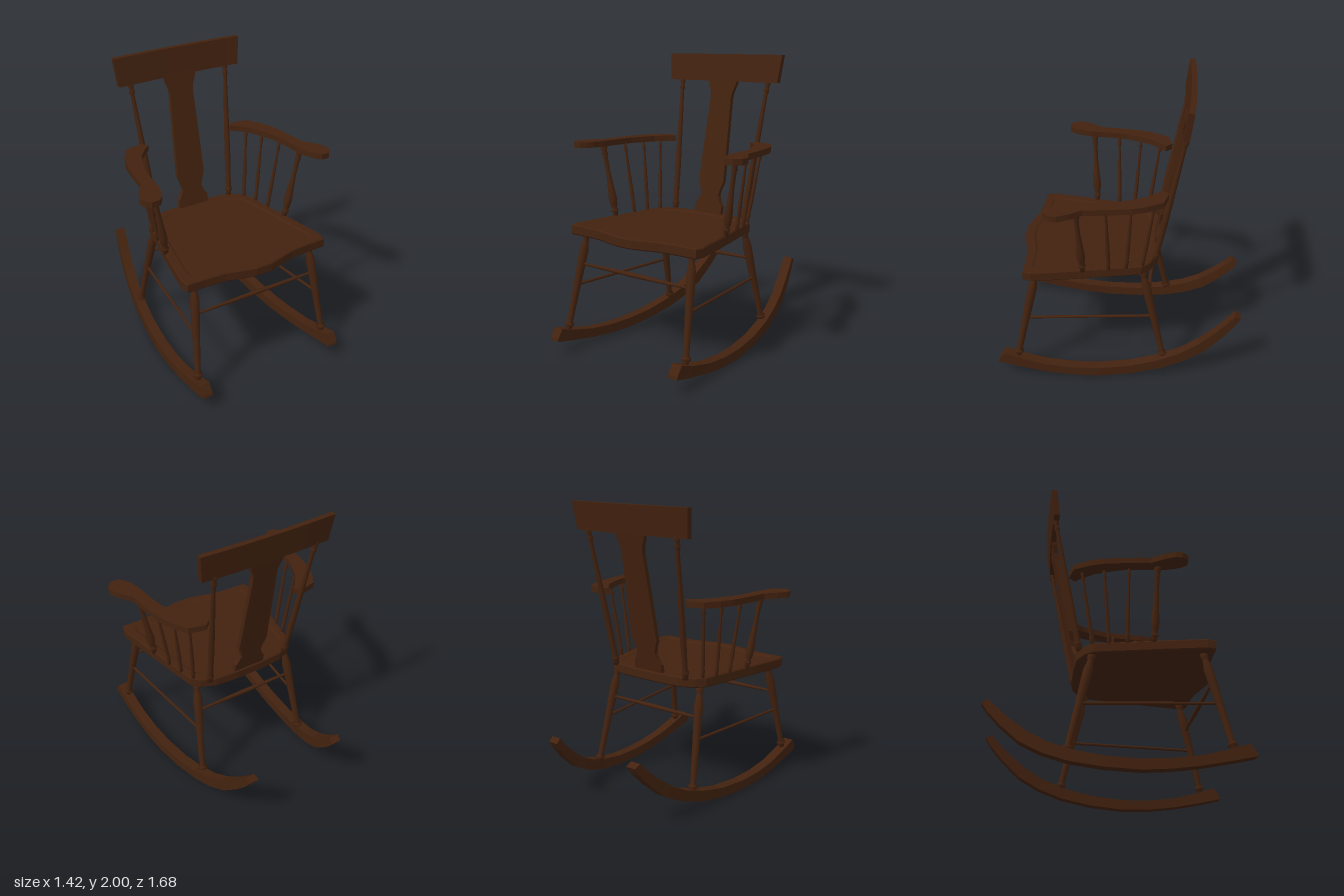
import * as THREE from 'three';

const wood = new THREE.MeshStandardMaterial({ color: 0x43220f });
wood.name = 'dark walnut';

// Solid skinned over a row of equal-length rings, end caps fanned, facing outward
function loft(name, rings) {
  const tris = [];
  const n = rings[0].length;
  for (let i = 0; i < rings.length - 1; i++) {
    for (let j = 0; j < n; j++) {
      const k = (j + 1) % n;
      const a = rings[i][j], b = rings[i][k], c = rings[i + 1][k], d = rings[i + 1][j];
      tris.push([a, b, c], [a, c, d]);
    }
  }
  const middle = (r) => [0, 1, 2].map((axis) => r.reduce((sum, p) => sum + p[axis], 0) / n);
  const first = rings[0], last = rings[rings.length - 1];
  const m0 = middle(first), m1 = middle(last);
  for (let j = 0; j < n; j++) {
    const k = (j + 1) % n;
    tris.push([m0, first[k], first[j]], [m1, last[j], last[k]]);
  }
  // Signed volume tells whether the corners must be reversed
  let volume = 0;
  for (const t of tris) {
    const [a, b, c] = t.map((p) => new THREE.Vector3(...p));
    volume += a.dot(b.cross(c));
  }
  if (volume < 0) tris.forEach((t) => t.reverse());
  const geometry = new THREE.BufferGeometry();
  geometry.setAttribute('position', new THREE.Float32BufferAttribute(tris.flat(2), 3));
  geometry.computeVertexNormals();
  const mesh = new THREE.Mesh(geometry, wood);
  mesh.name = name;
  return mesh;
}

// Turned stick from point a to point b; profile is [fraction of length, radius]
function turned(name, a, b, profile) {
  const from = new THREE.Vector3(...a), dir = new THREE.Vector3(...b).sub(from);
  const length = dir.length();
  const points = [[0, 0], ...profile, [1, 0]].map(([t, r]) => new THREE.Vector2(r, t * length));
  const mesh = new THREE.Mesh(new THREE.LatheGeometry(points, 10), wood);
  mesh.position.copy(from);
  mesh.quaternion.setFromUnitVectors(new THREE.Vector3(0, 1, 0), dir.normalize());
  mesh.name = name;
  return mesh;
}

const LEG = [[0, 0.018], [0.06, 0.02], [0.075, 0.032], [0.095, 0.032], [0.11, 0.02],
  [0.45, 0.025], [0.7, 0.03], [0.82, 0.032], [0.9, 0.021], [0.93, 0.021], [0.945, 0.027], [1, 0.024]];
const POST = [[0, 0.02], [0.03, 0.02], [0.04, 0.026], [0.055, 0.026], [0.065, 0.019], [0.3, 0.022],
  [0.6, 0.018], [0.9, 0.013], [0.915, 0.019], [0.935, 0.019], [0.945, 0.013], [0.965, 0.02], [1, 0.018]];
const ARM_POST = [[0, 0.017], [0.06, 0.017], [0.075, 0.025], [0.1, 0.025], [0.115, 0.016], [0.17, 0.025],
  [0.27, 0.029], [0.4, 0.023], [0.65, 0.015], [0.84, 0.016], [0.87, 0.022], [0.9, 0.016], [0.96, 0.025], [1, 0.02]];
const SPINDLE = [[0, 0.012], [0.08, 0.012], [0.1, 0.016], [0.13, 0.011], [0.25, 0.014],
  [0.5, 0.012], [0.85, 0.008], [0.9, 0.014], [0.93, 0.009], [1, 0.012]];
const ROD = [[0, 0.009], [0.04, 0.009], [0.5, 0.016], [0.96, 0.009], [1, 0.009]];
const THIN_ROD = [[0, 0.01], [1, 0.01]];

// Rocker stations: z and y of the lower edge, z and y of the upper edge
const ROCKER = [
  [0.84, 0.10, 0.835, 0.12], [0.83, 0.097, 0.795, 0.178], [0.7, 0.068, 0.68, 0.14], [0.5, 0.03, 0.5, 0.095],
  [0.32, 0.008, 0.32, 0.073], [0.14, 0, 0.14, 0.068], [-0.09, 0.018, -0.08, 0.085],
  [-0.3, 0.056, -0.27, 0.125], [-0.46, 0.11, -0.43, 0.18], [-0.6, 0.185, -0.555, 0.25],
  [-0.72, 0.295, -0.67, 0.34], [-0.8, 0.385, -0.755, 0.42], [-0.84, 0.443, -0.8, 0.468]];
// Rocker centre line in plan, curving inward toward the back
const rockerX = (z) => 0.478 + 0.102 * z - 0.076 * z * z;

// Armrest stations: inner x, z and outer x, z
const ARM = [
  [0.325, -0.275, 0.37, -0.318], [0.37, -0.235, 0.485, -0.29], [0.435, -0.155, 0.545, -0.19],
  [0.475, -0.06, 0.578, -0.1], [0.507, 0.02, 0.598, 0.02], [0.522, 0.12, 0.61, 0.12],
  [0.53, 0.21, 0.618, 0.205], [0.536, 0.29, 0.675, 0.285], [0.558, 0.37, 0.708, 0.355],
  [0.58, 0.41, 0.704, 0.4], [0.61, 0.443, 0.665, 0.445]];

// Arm spindles: bottom x, z and top x, z
const SPINDLES = [
  [0.475, 0.235, 0.563, 0.258], [0.447, 0.065, 0.525, 0.072],
  [0.42, -0.05, 0.485, -0.09], [0.385, -0.155, 0.445, -0.235]];

// Half outline of the seat, back to front
const SEAT = [
  [0.1, -0.262], [0.26, -0.25], [0.36, -0.205], [0.41, -0.15], [0.445, 0.03], [0.5, 0.31],
  [0.545, 0.57], [0.53, 0.628], [0.4, 0.63], [0.26, 0.64], [0.15, 0.67], [0.06, 0.692]];

// Depth of the leaning back at a given height
const backZ = (y) => -0.238 - (y - 0.87) * 0.193;

function createSeat() {
  const outline = [...SEAT, ...SEAT.slice().reverse().map(([x, z]) => [-x, z])];
  const ring = (scale, y) => outline.map(([x, z]) => [x * scale, y, 0.2 + (z - 0.2) * scale]);
  // Edge, raised rim and shallow dish
  return loft('seat', [ring(0.985, 0.8), ring(1, 0.808), ring(1, 0.862), ring(0.985, 0.87),
    ring(0.88, 0.87), ring(0.85, 0.862)]);
}

function createBack() {
  const back = new THREE.Group();
  back.name = 'back';
  // Gently bowed crest rail
  const rail = [];
  for (let i = 0; i <= 10; i++) {
    const u = i / 5 - 1;
    const bow = -0.013 * (1 - u * u);
    rail.push([[0.46 * u, 1.81, -0.393 + bow], [0.48 * u, 2, -0.42 + bow],
      [0.48 * u, 2, -0.457 + bow], [0.46 * u, 1.81, -0.432 + bow]]);
  }
  back.add(loft('crestRail', rail));
  // Shaped centre splat: height and half width
  const splat = [[0.86, 0.115], [0.925, 0.115], [0.96, 0.092], [1.0, 0.076], [1.04, 0.084], [1.1, 0.107],
    [1.4, 0.098], [1.69, 0.088], [1.73, 0.093], [1.79, 0.116], [1.83, 0.12]];
  back.add(loft('splat', splat.map(([y, w]) => {
    const z = backZ(y);
    return [[-w, y, z + 0.016], [w, y, z + 0.016], [w, y, z - 0.016], [-w, y, z - 0.016]];
  })));
  return back;
}

function createSide(s) {
  const side = new THREE.Group();
  side.name = s > 0 ? 'leftSide' : 'rightSide';
  const half = 0.036;
  side.add(loft('rocker', ROCKER.map(([z0, y0, z1, y1]) => {
    const a = rockerX(z0), b = rockerX(z1);
    return [[s * (a - half), y0, z0], [s * (a + half), y0, z0],
      [s * (b + half), y1, z1], [s * (b - half), y1, z1]];
  })));
  // Legs and the stretcher between them
  side.add(turned('frontLeg', [s * 0.51, 0.12, 0.71], [s * 0.448, 0.82, 0.555], LEG));
  side.add(turned('backLeg', [s * 0.425, 0.09, -0.318], [s * 0.362, 0.82, -0.152], LEG));
  side.add(turned('sideStretcher', [s * 0.48, 0.455, 0.636], [s * 0.395, 0.455, -0.235], THIN_ROD));
  // Back post, armrest and its spindles
  side.add(turned('backPost', [s * 0.303, 0.86, backZ(0.86)], [s * 0.372, 1.83, backZ(1.83)], POST));
  side.add(loft('armrest', ARM.map(([xi, zi, xo, zo]) => [
    [s * xi, 1.365, zi], [s * xo, 1.365, zo], [s * xo, 1.405, zo], [s * xi, 1.405, zi]])));
  SPINDLES.forEach(([x0, z0, x1, z1], i) => side.add(turned(i ? 'armSpindle' : 'armPost',
    [s * x0, 0.86, z0], [s * x1, 1.375, z1], i ? SPINDLE : ARM_POST)));
  return side;
}

export function createModel() {
  const chair = new THREE.Group();
  chair.name = 'rockingChair';
  chair.add(createSeat(), createBack(), createSide(1), createSide(-1));
  // Cross stretchers between the pairs of legs
  chair.add(turned('frontStretcher', [-0.467, 0.6, 0.603], [0.467, 0.6, 0.603], ROD));
  chair.add(turned('backStretcher', [-0.381, 0.6, -0.202], [0.381, 0.6, -0.202], ROD));
  return chair;
}
